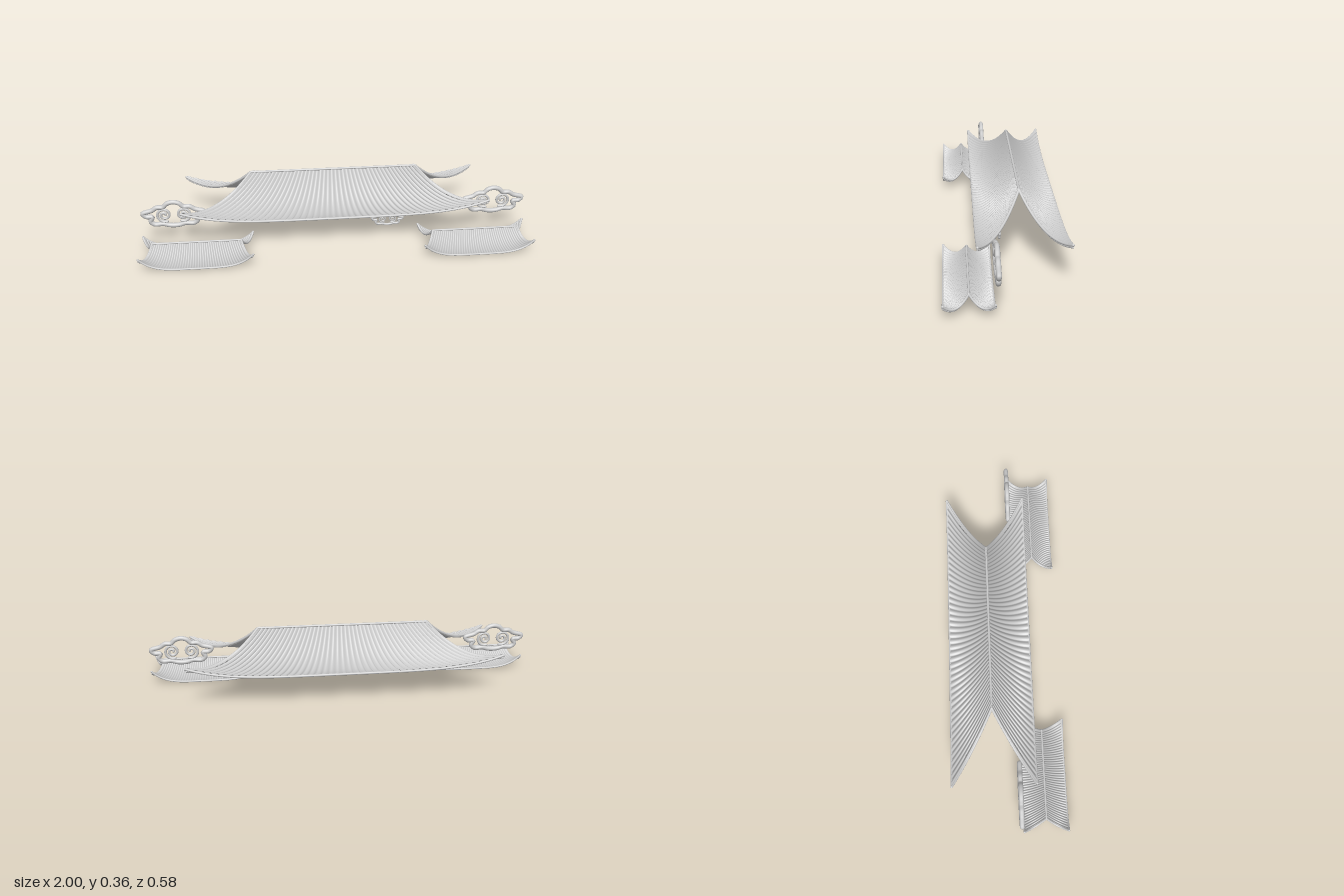
import * as THREE from 'three';
import { ParametricGeometry } from 'three/addons/geometries/ParametricGeometry.js';

const stone = new THREE.MeshStandardMaterial({ color: 0xcccccc, side: THREE.DoubleSide });
stone.name = 'light stone grey';

function add(group, name, geometry) {
  const mesh = new THREE.Mesh(geometry, stone);
  mesh.name = name;
  group.add(mesh);
  return mesh;
}

// Round bar along a list of points, with balls closing its open ends
function bar(group, name, points, radius, closed = false, steps = 40) {
  const curve = new THREE.CatmullRomCurve3(points, closed);
  add(group, name, new THREE.TubeGeometry(curve, steps, radius, 10, closed));
  if (closed) return;
  for (const p of [points[0], points[points.length - 1]]) {
    add(group, name + 'End', new THREE.SphereGeometry(radius, 10, 8)).position.copy(p);
  }
}

// Saddle roof: two sagging slopes that widen and lift toward the corners.
// middle and rake hold the quadratic height profiles at the centre and the ends.
function makeRoof(name, o) {
  const roof = new THREE.Group();
  roof.name = name;
  const quad = (c, v) => c[0] + c[1] * v + c[2] * v * v;

  const surface = (side, u, v) => {
    const lift = Math.pow(Math.abs(u), 4.5);
    const y = THREE.MathUtils.lerp(quad(o.middle, v), quad(o.rake, v), lift);
    return new THREE.Vector3(u * THREE.MathUtils.lerp(o.ridgeHalf, o.eaveHalf, v), y, side * o.depth * v);
  };
  const line = (n, f) => Array.from({ length: n + 1 }, (_, i) => f(i / n));

  for (const side of [1, -1]) {
    const label = side > 0 ? 'front' : 'back';

    // Smooth underside
    add(roof, label + 'Underside', new ParametricGeometry((a, v, p) => {
      p.copy(surface(side, a * 2 - 1, v));
    }, 48, 16));

    // Rounded tile rows fanning from ridge to eave
    add(roof, label + 'Tiles', new ParametricGeometry((a, v, p) => {
      p.copy(surface(side, a * 2 - 1, v));
      p.y += o.tile * (0.15 + Math.abs(Math.sin(a * o.rows * Math.PI)));
    }, o.rows * 6, 14));

    // Eave trim, and a thick trim with a thinner one below it at each sloping end
    bar(roof, label + 'Eave', line(24, t => surface(side, t * 2 - 1, 1)), o.trim, false, 64);
    for (const end of [1, -1]) {
      const edge = line(14, t => surface(side, end, t));
      bar(roof, label + 'EndTrim', edge, o.trim * 1.1);
      const lower = line(14, t => surface(side, end * 0.995, t).add(new THREE.Vector3(0, -1.8 * o.trim * t, 0)));
      bar(roof, label + 'LowerEndTrim', lower, o.trim * 0.8);
    }
  }

  // Ridge
  bar(roof, 'ridge', line(4, t => surface(1, t * 2 - 1, 0).setY(o.rake[0])), o.trim, false, 8);
  return roof;
}

// Scrolled cloud: closed lobed outline with two inner spirals
function makeCloud(name) {
  const cloud = new THREE.Group();
  cloud.name = name;
  const half = [
    [0, 0.066], [0.03, 0.058], [0.052, 0.039], [0.082, 0.038], [0.108, 0.022],
    [0.155, 0.006], [0.14, -0.012], [0.108, -0.016], [0.119, -0.04],
    [0.1, -0.058], [0.056, -0.057], [0.03, -0.065],
  ];
  const left = half.slice(1).reverse().map(([x, y]) => [-x, y]);
  const outline = [...half, [0, -0.068], ...left].map(([x, y]) => new THREE.Vector3(x, y, 0));
  bar(cloud, 'outline', outline, 0.012, true, 140);

  for (const s of [1, -1]) {
    const spiral = [];
    for (let i = 0; i <= 28; i++) {
      const t = i / 28;
      const r = THREE.MathUtils.lerp(0.04, 0.007, t);
      const a = -Math.PI * 0.6 + t * Math.PI * 3.6;
      spiral.push(new THREE.Vector3(s * (0.048 + r * Math.cos(a)), -0.006 + r * Math.sin(a), 0));
    }
    bar(cloud, 'spiral', spiral, 0.007, false, 70);
  }
  return cloud;
}

export function createModel() {
  const model = new THREE.Group();
  model.name = 'roofsAndClouds';

  // Large upper roof
  const main = makeRoof('mainRoof', {
    ridgeHalf: 0.43, eaveHalf: 0.783, depth: 0.207, rows: 46, tile: 0.009, trim: 0.006,
    middle: [0.34, -0.384, 0.21], rake: [0.346, -0.39, 0.273],
  });
  main.position.z = -0.077;
  model.add(main);

  // Small lower roofs and large clouds, one on each side
  for (const s of [1, -1]) {
    const label = s > 0 ? 'left' : 'right';
    const roof = makeRoof(label + 'LowerRoof', {
      ridgeHalf: 0.222, eaveHalf: 0.281, depth: 0.11, rows: 42, tile: 0.005, trim: 0.005,
      middle: [0.087, -0.166, 0.084], rake: [0.092, -0.18, 0.158],
    });
    roof.position.set(s * 0.713, 0, 0.173);
    model.add(roof);

    const cloud = makeCloud(label + 'Cloud');
    cloud.position.set(s * 0.828, 0.192, 0.049);
    model.add(cloud);
  }

  // Small single cloud
  const small = makeCloud('smallCloud');
  small.position.set(0.28, 0.081, 0.008);
  small.scale.setScalar(0.53);
  model.add(small);

  return model;
}
